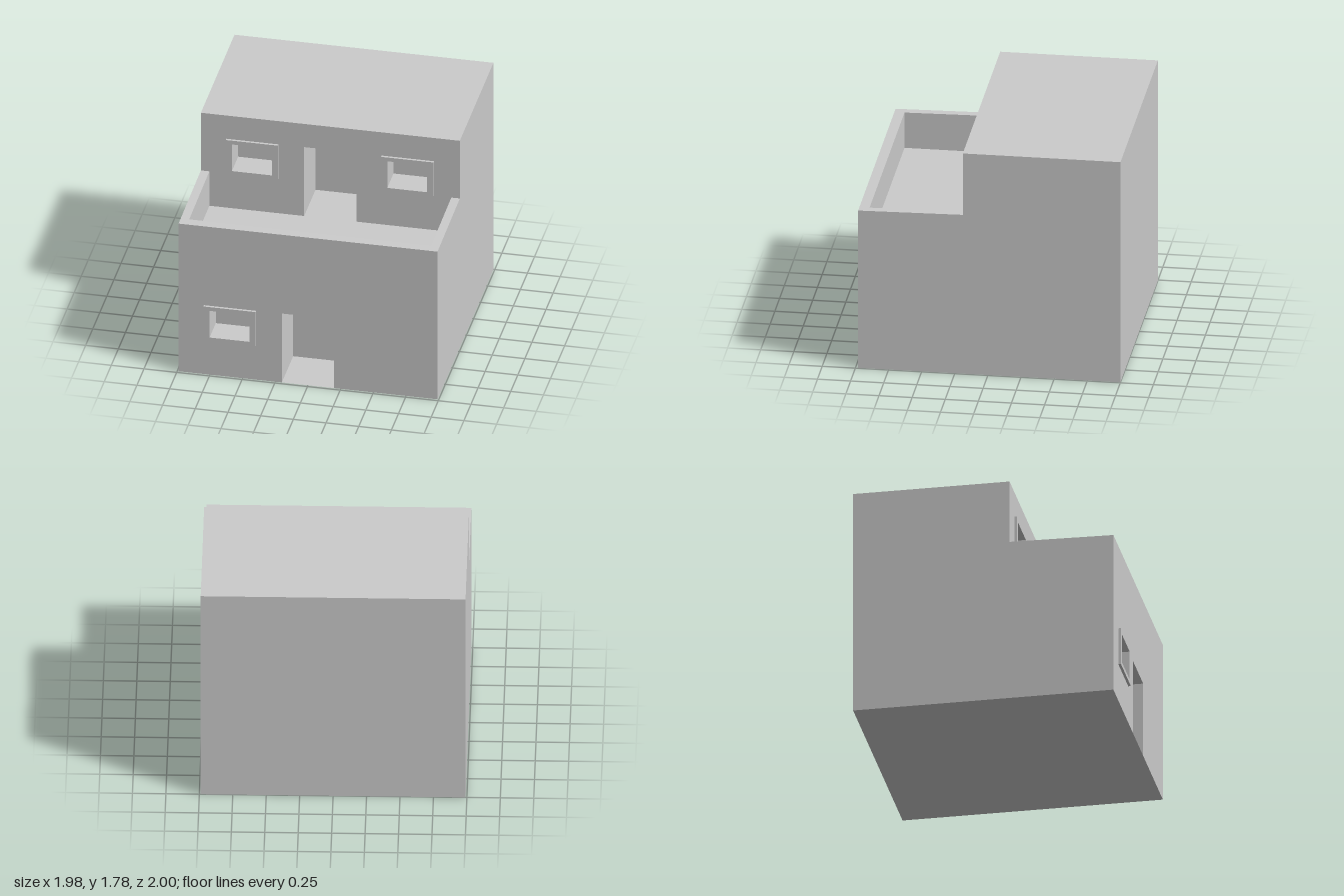
import * as THREE from 'three';

const W = 0.99, BACK = -1, FRONT = 0.98, STEP = 0.19; // footprint and setback of the upper storey
const TOP = 1.785, DECK = 0.99, INNER = 0.925, LIP = 0.903; // heights and inside faces of the parapet
const RIM_FRONT = 1.275, RIM_BACK = 1.287; // parapet rises slightly towards the house
const rimY = (z) => RIM_FRONT + (RIM_BACK - RIM_FRONT) * (FRONT - z) / (FRONT - STEP);

const DOOR = { x: 0, w: 0.4, h: 0.595, depth: 0.4 };
const WINDOW = { y: 0.447, w: 0.305, h: 0.23, outerW: 0.4, outerH: 0.295, depth: 0.2 };

const material = new THREE.MeshStandardMaterial({ color: 0xcccccc });

function outline(points) {
  return new THREE.Shape(points.map(([x, y]) => new THREE.Vector2(x, y)));
}

function rect(x, y, w, h) {
  const a = x - w / 2, b = x + w / 2, c = y - h / 2, d = y + h / 2;
  return [[a, c], [b, c], [b, d], [a, d]];
}

function addMesh(parent, name, geometry) {
  const mesh = new THREE.Mesh(geometry, material);
  mesh.name = name;
  parent.add(mesh);
  return mesh;
}

// Flat wall panel drawn in x/y, facing +z until rotated
function panel(parent, name, points, holes = []) {
  const shape = outline(points);
  holes.forEach((h) => shape.holes.push(outline(h)));
  return addMesh(parent, name, new THREE.ShapeGeometry(shape));
}

// Box turned inside out and open at the front
function recess(parent, name, x, y, z, w, h, depth) {
  const geo = new THREE.BoxGeometry(w, h, depth).scale(1, 1, -1);
  geo.setIndex(Array.from(geo.index.array).slice(0, 30));
  geo.clearGroups();
  geo.computeVertexNormals();
  addMesh(parent, name, geo).position.set(x, y, z - depth / 2);
}

// Front wall with door and window openings, their recesses and raised frames
function facade(parent, name, floorY, z, upperOutline, windowXs) {
  const group = new THREE.Group();
  group.name = name;
  parent.add(group);
  const { w, h, depth } = DOOR;
  const doorway = [[-w / 2, floorY], [-w / 2, floorY + h], [w / 2, floorY + h], [w / 2, floorY]];
  const wy = floorY + WINDOW.y;
  const openings = windowXs.map((x) => rect(x, wy, WINDOW.w, WINDOW.h));
  panel(group, 'frontWall', [...doorway, ...upperOutline], openings).position.z = z;
  recess(group, 'doorRecess', DOOR.x, floorY + h / 2, z, w, h, depth);
  windowXs.forEach((x, i) => {
    recess(group, 'windowRecess', x, wy, z, WINDOW.w, WINDOW.h, WINDOW.depth);
    const frame = outline(rect(x, wy, WINDOW.outerW, WINDOW.outerH));
    frame.holes.push(outline(openings[i]));
    const geo = new THREE.ExtrudeGeometry(frame, { depth: 0.02, bevelEnabled: false });
    addMesh(group, 'windowFrame', geo).position.z = z;
  });
}

export function createModel() {
  const house = new THREE.Group();
  house.name = 'house';

  // Lower and upper fronts
  facade(house, 'lowerFront', 0, FRONT,
    [[W, 0], [W, RIM_FRONT], [-W, RIM_FRONT], [-W, 0]], [-0.596]);
  facade(house, 'upperFront', DECK, STEP,
    [[INNER, DECK], [INNER, RIM_BACK], [W, RIM_BACK], [W, TOP],
      [-W, TOP], [-W, RIM_BACK], [-INNER, RIM_BACK], [-INNER, DECK]], [-0.596, 0.592]);

  // Stepped outer sides and the inner faces of the side parapets
  const side = [[BACK, 0], [FRONT, 0], [FRONT, RIM_FRONT], [STEP, RIM_BACK], [STEP, TOP], [BACK, TOP]];
  const inner = [[STEP, DECK], [LIP, DECK], [LIP, rimY(LIP)], [STEP, RIM_BACK]];
  for (const s of [-1, 1]) {
    const along = (pts, dir) => pts.map(([z, y]) => [-dir * z, y]);
    const wall = panel(house, 'sideWall', along(side, s));
    wall.rotation.y = s * Math.PI / 2;
    wall.position.x = s * W;
    const face = panel(house, 'parapetInnerSide', along(inner, -s));
    face.rotation.y = -s * Math.PI / 2;
    face.position.x = s * INNER;
  }

  // Inner face of the front parapet
  const lip = panel(house, 'parapetInnerFront',
    [[-INNER, DECK], [INNER, DECK], [INNER, rimY(LIP)], [-INNER, rimY(LIP)]]);
  lip.rotation.y = Math.PI;
  lip.position.z = LIP;

  // Back wall
  const back = panel(house, 'backWall', [[-W, 0], [W, 0], [W, TOP], [-W, TOP]]);
  back.rotation.y = Math.PI;
  back.position.z = BACK;

  // Horizontal surfaces, facing up (1) or down (-1)
  const slab = (name, halfW, z0, z1, y, up) => {
    const mesh = addMesh(house, name, new THREE.PlaneGeometry(halfW * 2, z1 - z0));
    mesh.rotation.x = -up * Math.PI / 2;
    mesh.position.set(0, y, (z0 + z1) / 2);
  };
  slab('roof', W, BACK, STEP, TOP, 1);
  slab('terraceFloor', INNER, STEP, LIP, DECK, 1);
  slab('base', W, BACK, FRONT, 0, -1);

  // U-shaped parapet top, lifted to follow the gentle slope
  const rim = new THREE.ShapeGeometry(outline([
    [-W, -STEP], [-W, -FRONT], [W, -FRONT], [W, -STEP],
    [INNER, -STEP], [INNER, -LIP], [-INNER, -LIP], [-INNER, -STEP],
  ])).rotateX(-Math.PI / 2);
  const pos = rim.attributes.position;
  for (let i = 0; i < pos.count; i++) pos.setY(i, rimY(pos.getZ(i)));
  rim.computeVertexNormals();
  addMesh(house, 'parapetTop', rim);

  return house;
}
